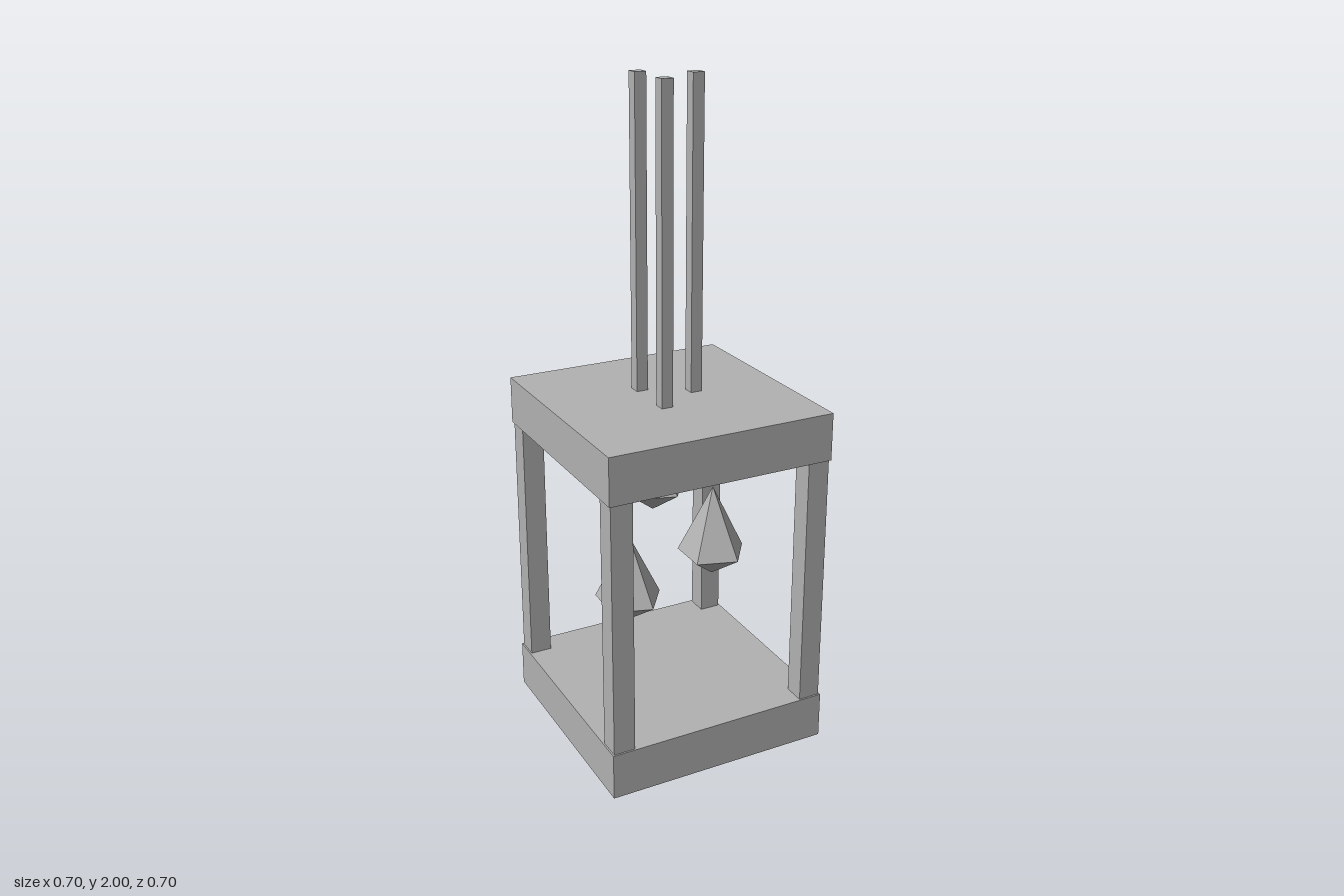
import * as THREE from 'three';

export function createModel() {
  const model = new THREE.Group();
  const grey = new THREE.MeshStandardMaterial({ color: 0xb2b2b2 });
  grey.name = 'grey';
  grey.flatShading = true;

  const add = (name, geometry, x, y, z, parent = model) => {
    const mesh = new THREE.Mesh(geometry, grey);
    mesh.name = name;
    mesh.position.set(x, y, z);
    parent.add(mesh);
    return mesh;
  };

  // Base and roof slabs
  const slab = new THREE.BoxGeometry(0.705, 0.145, 0.705);
  add('baseSlab', slab, 0, 0.0725, 0);
  add('roofSlab', slab, 0, 1.0025, 0);

  // Four corner posts
  const post = new THREE.BoxGeometry(0.067, 0.785, 0.067);
  for (const sx of [-1, 1])
    for (const sz of [-1, 1])
      add('cornerPost', post, sx * 0.314, 0.5375, sz * 0.314);

  // Three square hanging rods standing on the roof
  const rod = new THREE.BoxGeometry(0.036, 0.925, 0.036);
  for (const [x, z] of [[0.091, 0], [-0.047, 0.081], [-0.047, -0.081]])
    add('rod', rod, x, 1.5375, z);

  // Five-sided crystals: long upper cone, short lower cone, one corner towards +x
  const radius = 0.107, upper = 0.217, lower = 0.075;
  const top = new THREE.ConeGeometry(radius, upper, 5, 1, true, Math.PI / 2);
  const bottom = new THREE.CylinderGeometry(radius, 0, lower, 5, 1, true, Math.PI / 2);
  for (const [x, y, z] of [[0, 0.742, -0.092], [0.13, 0.558, 0.056], [-0.112, 0.41, -0.036]]) {
    const crystal = new THREE.Group();
    crystal.name = 'crystal';
    crystal.position.set(x, y, z);
    add('crystalTop', top, 0, upper / 2, 0, crystal);
    add('crystalBottom', bottom, 0, -lower / 2, 0, crystal);
    model.add(crystal);
  }

  return model;
}
